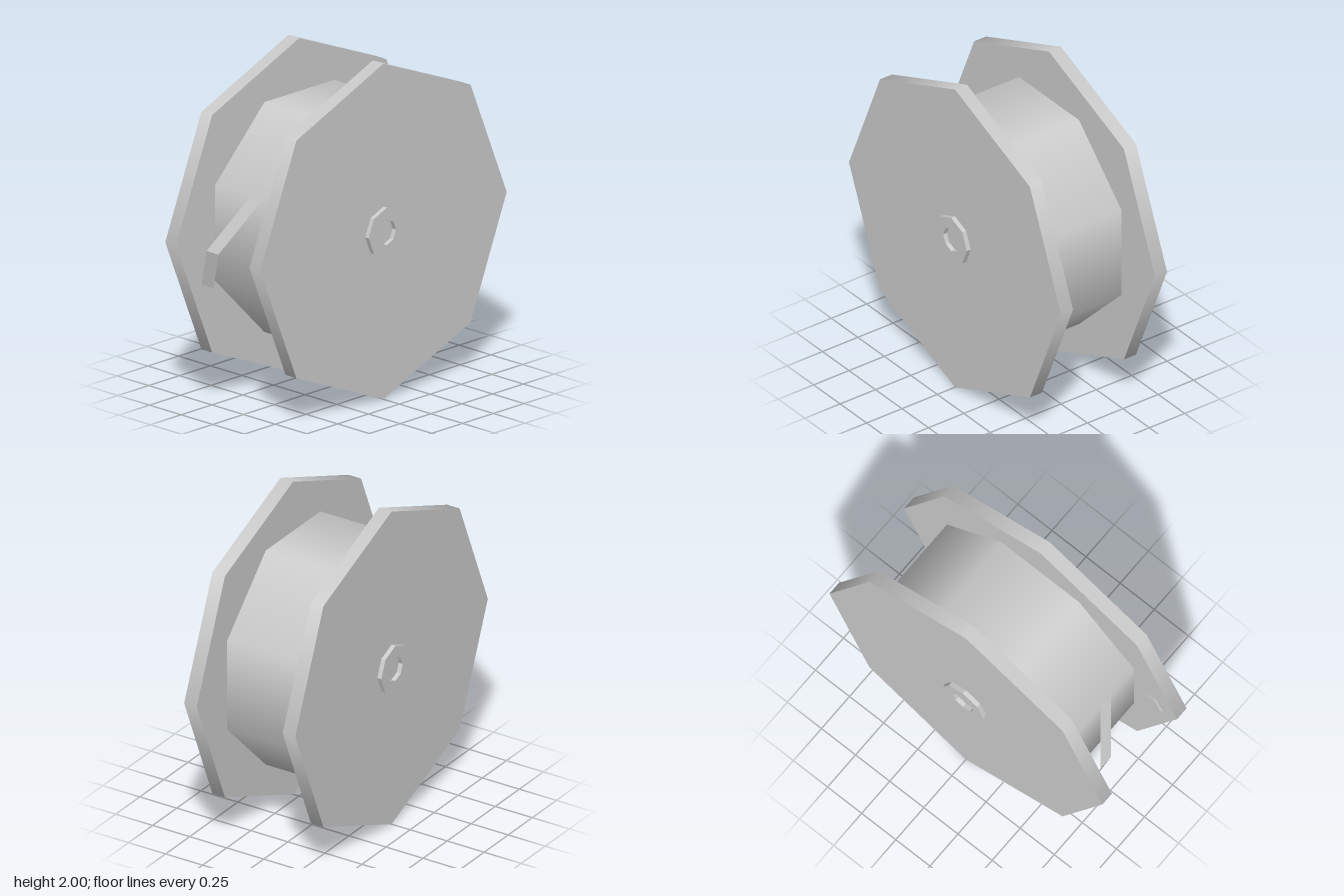
import * as THREE from 'three';

const material = new THREE.MeshStandardMaterial({ color: 0xcccccc });
const thinMaterial = new THREE.MeshStandardMaterial({ color: 0xcccccc, side: THREE.DoubleSide, flatShading: true });

// Eight-sided cylinder lying along z
function disc(name, radius, depth, z, turn = 0) {
  const geometry = new THREE.CylinderGeometry(radius, radius, depth, 8, 1, false, turn);
  geometry.rotateX(Math.PI / 2);
  const mesh = new THREE.Mesh(geometry, material);
  mesh.name = name;
  mesh.position.set(0, 1, z);
  return mesh;
}

function octagon(target, radius) {
  const points = [];
  for (let i = 0; i < 8; i++) {
    const a = (i * Math.PI) / 4;
    points.push(new THREE.Vector2(Math.cos(a) * radius, Math.sin(a) * radius));
  }
  return target.setFromPoints(points);
}

// Ribbon of constant width in z swept through a few points
function ribbon(points, width) {
  const positions = [];
  const index = [];
  points.forEach(([x, y, z], i) => {
    positions.push(x, y, z + width / 2, x, y, z - width / 2);
    if (i) {
      const k = 2 * i;
      index.push(k - 2, k - 1, k, k - 1, k + 1, k);
    }
  });
  const geometry = new THREE.BufferGeometry();
  geometry.setAttribute('position', new THREE.Float32BufferAttribute(positions, 3));
  geometry.setIndex(index);
  geometry.computeVertexNormals();
  return geometry;
}

export function createModel() {
  const group = new THREE.Group();
  group.name = 'spool';

  // Wound drum, turned so its flats face the axes
  group.add(disc('drum', 0.741, 0.58, 0, Math.PI / 8));

  // Flanges with a raised hub ring on each outer face
  for (const [side, sign] of [['front', 1], ['back', -1]]) {
    group.add(disc(side + 'Flange', 1, 0.085, sign * 0.3325));

    const shape = octagon(new THREE.Shape(), 0.148);
    shape.holes.push(octagon(new THREE.Path(), 0.075));
    const geometry = new THREE.ExtrudeGeometry(shape, { depth: 0.03, bevelEnabled: false });
    const hub = new THREE.Mesh(geometry, material);
    hub.name = side + 'HubRing';
    hub.position.set(0, 1, sign > 0 ? 0.372 : -0.402);
    group.add(hub);
  }

  // Loose end peeling off the winding
  const tail = new THREE.Mesh(
    ribbon([[-0.684, 1.285, 0.04], [-0.843, 0.95, -0.155], [-0.8, 0.72, -0.235]], 0.095),
    thinMaterial
  );
  tail.name = 'looseEnd';
  group.add(tail);

  // Small catch on the inner face of the front flange
  const clip = new THREE.Mesh(new THREE.BoxGeometry(0.065, 0.12, 0.03), material);
  clip.name = 'endCatch';
  clip.position.set(-0.838, 0.99, 0.295);
  clip.rotation.z = -0.5;
  group.add(clip);

  return group;
}
